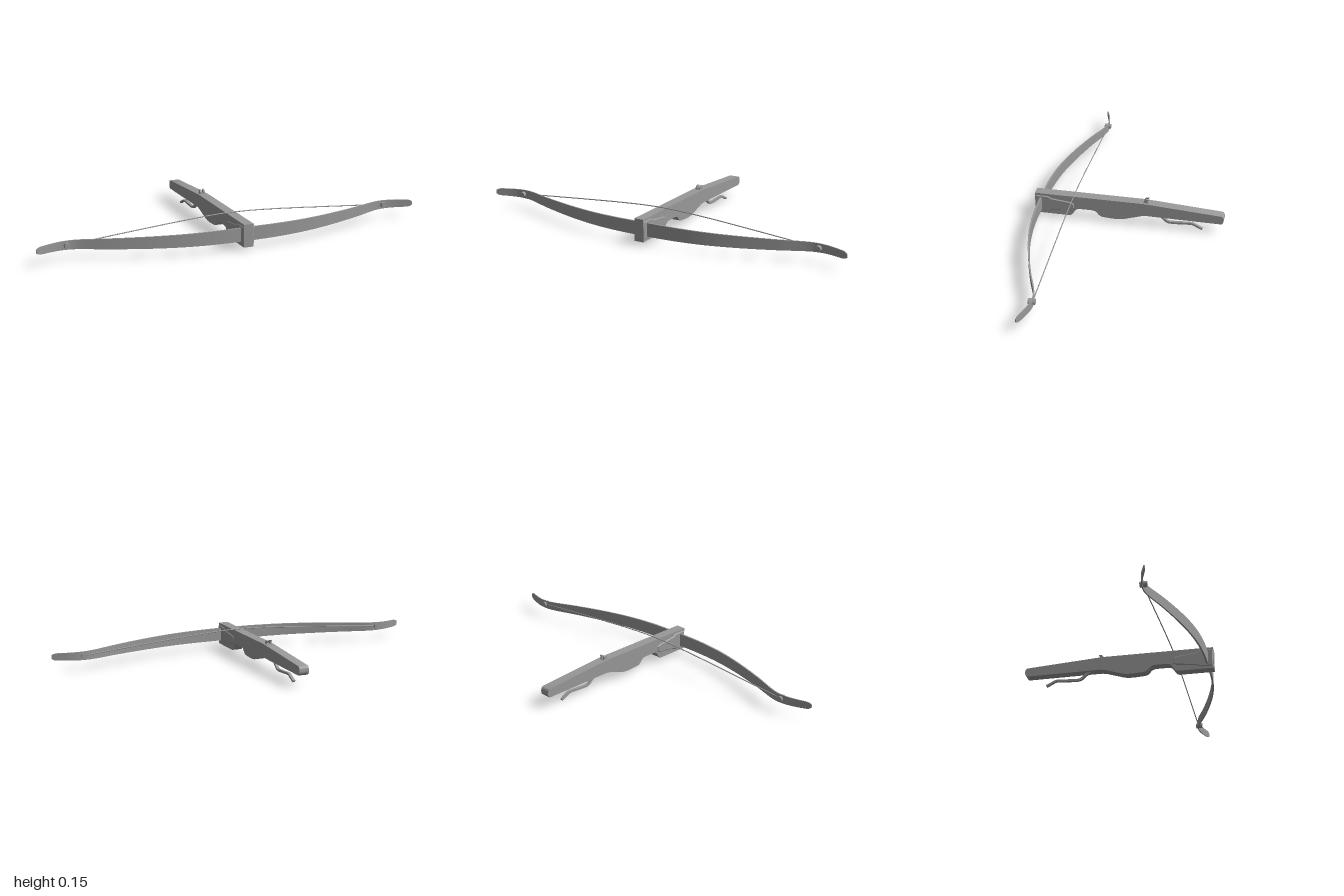
import * as THREE from 'three';
import { toCreasedNormals } from 'three/addons/utils/BufferGeometryUtils.js';

const CX = -0.006; // centre line of the stock
const BOW_Y = 0.075; // height of the bow's centre line
const darkGrey = new THREE.MeshStandardMaterial({ color: 0x999999 });

function part(name, geometry) {
  const mesh = new THREE.Mesh(geometry, darkGrey);
  mesh.name = name;
  return mesh;
}

// Extrudes a side outline drawn in (z, y) across x, centred on the stock.
function sideExtrude(shape, width, bevel = 0, x = CX) {
  const depth = width - 2 * bevel;
  const g = new THREE.ExtrudeGeometry(shape, {
    depth, curveSegments: 8, bevelEnabled: bevel > 0,
    bevelSize: bevel, bevelThickness: bevel, bevelOffset: -bevel, bevelSegments: 1,
  });
  g.translate(0, 0, -depth / 2).rotateY(-Math.PI / 2).translate(x, 0, 0);
  return toCreasedNormals(g, 0.6);
}

const outline = (pts) => new THREE.Shape(pts.map(([z, y]) => new THREE.Vector2(z, y)));

// Ribbon outline of varying half thickness along a smooth (z, y) path.
function ribbon(points, half) {
  const curve = new THREE.SplineCurve(points.map(([z, y]) => new THREE.Vector2(z, y)));
  const upper = [], lower = [];
  for (let i = 0; i <= 30; i++) {
    const t = i / 30, p = curve.getPoint(t), d = curve.getTangent(t), h = half(t);
    upper.push(new THREE.Vector2(p.x - d.y * h, p.y + d.x * h));
    lower.unshift(new THREE.Vector2(p.x + d.y * h, p.y - d.x * h));
  }
  return new THREE.Shape([...upper, ...lower]);
}

function stockShape() {
  const s = new THREE.Shape();
  s.moveTo(0.488, 0.018);
  s.lineTo(0.488, 0.132);
  s.lineTo(-0.08, 0.132);
  s.lineTo(-0.475, 0.105);
  s.bezierCurveTo(-0.492, 0.101, -0.492, 0.063, -0.475, 0.059);
  s.lineTo(-0.1, 0.062);
  s.quadraticCurveTo(-0.08, 0.062, -0.06, 0.056);
  s.lineTo(0.025, 0.029);
  s.quadraticCurveTo(0.05, 0.024, 0.08, 0.025);
  s.lineTo(0.13, 0.028);
  s.bezierCurveTo(0.165, 0.031, 0.155, 0.06, 0.19, 0.062);
  s.lineTo(0.255, 0.062);
  s.bezierCurveTo(0.285, 0.062, 0.285, 0.018, 0.31, 0.018);
  return s;
}

// Recurved bow: a box bent along a plan curve, tapering towards rounded tips.
function bowGeometry() {
  const half = [[0.16, 0.455], [0.32, 0.437], [0.48, 0.4], [0.65, 0.346], [0.78, 0.296],
    [0.845, 0.284], [0.91, 0.292], [1, 0.322]];
  const pts = [...half.map(([x, z]) => [-x, z]).reverse(), [0, 0.457], ...half];
  const curve = new THREE.SplineCurve(pts.map(([x, z]) => new THREE.Vector2(x, z)));
  const g = new THREE.BoxGeometry(2, 1, 1, 120, 1, 1);
  const pos = g.attributes.position;
  for (let i = 0; i < pos.count; i++) {
    // more sections towards the tips
    const t = (Math.sin(pos.getX(i) * Math.PI / 2) + 1) / 2;
    const p = curve.getPoint(t), d = curve.getTangent(t);
    const a = Math.min(1, Math.abs(p.x));
    const e = THREE.MathUtils.clamp((a - 0.97) / 0.03, 0, 1);
    const height = (0.068 - 0.032 * Math.pow(a, 1.6)) * (0.25 + 0.75 * Math.sqrt(1 - e * e));
    const off = pos.getZ(i) * (0.01 - 0.005 * a);
    pos.setXYZ(i, p.x - d.y * off, BOW_Y + pos.getY(i) * height, p.y + d.x * off);
  }
  g.computeVertexNormals();
  return g;
}

export function createModel() {
  const model = new THREE.Group();
  model.name = 'crossbow';

  model.add(part('stock', sideExtrude(stockShape(), 0.05)));
  model.add(part('bow', bowGeometry()));

  // Raised cheek plates on both sides of the head
  const plate = outline([[0.487, 0.031], [0.487, 0.12], [0.42, 0.12], [0.4, 0.109],
    [0.3, 0.098], [0.283, 0.088], [0.283, 0.062], [0.3, 0.052], [0.4, 0.042], [0.42, 0.031]]);
  model.add(part('headPlates', sideExtrude(plate, 0.058, 0.004)));

  // String pegs through the limbs
  for (const side of [-1, 1]) {
    const peg = part(side > 0 ? 'leftPeg' : 'rightPeg',
      new THREE.CylinderGeometry(0.014, 0.014, 0.034, 20).rotateX(Math.PI / 2));
    peg.position.set(side * 0.845, BOW_Y, 0.288);
    model.add(peg);
  }

  // Bowstring, lifted over the top of the stock
  const right = [[-0.845, BOW_Y], [-0.48, 0.106], [-0.22, 0.126], [-0.06, 0.134]];
  const left = right.map(([x, y]) => [-x, y]).reverse();
  const path = new THREE.CatmullRomCurve3(
    [...right, ...left].map(([x, y]) => new THREE.Vector3(x, y, 0.284)));
  model.add(part('bowstring', new THREE.TubeGeometry(path, 60, 0.0028, 8)));

  // Two-pronged catch that holds the drawn string
  const prong = new THREE.Shape();
  prong.moveTo(-0.077, 0.125);
  prong.lineTo(-0.077, 0.138);
  prong.quadraticCurveTo(-0.081, 0.152, -0.101, 0.152);
  prong.lineTo(-0.101, 0.148);
  prong.quadraticCurveTo(-0.094, 0.143, -0.097, 0.134);
  prong.lineTo(-0.104, 0.125);
  for (const side of [-1, 1]) {
    model.add(part('catchProng', sideExtrude(prong, 0.009, 0, CX + side * 0.009)));
  }
  const bar = new THREE.BoxGeometry(0.027, 0.008, 0.022).translate(CX, 0.131, -0.09);
  model.add(part('catchBase', bar));

  // Long curved trigger lever under the stock
  const lever = ribbon([[-0.148, 0.066], [-0.172, 0.05], [-0.195, 0.03], [-0.22, 0.025],
    [-0.28, 0.028], [-0.325, 0.03], [-0.35, 0.019], [-0.378, 0.005]],
  (t) => 0.006 - 0.001 * t);
  model.add(part('triggerLever', sideExtrude(lever, 0.014)));

  return model;
}
